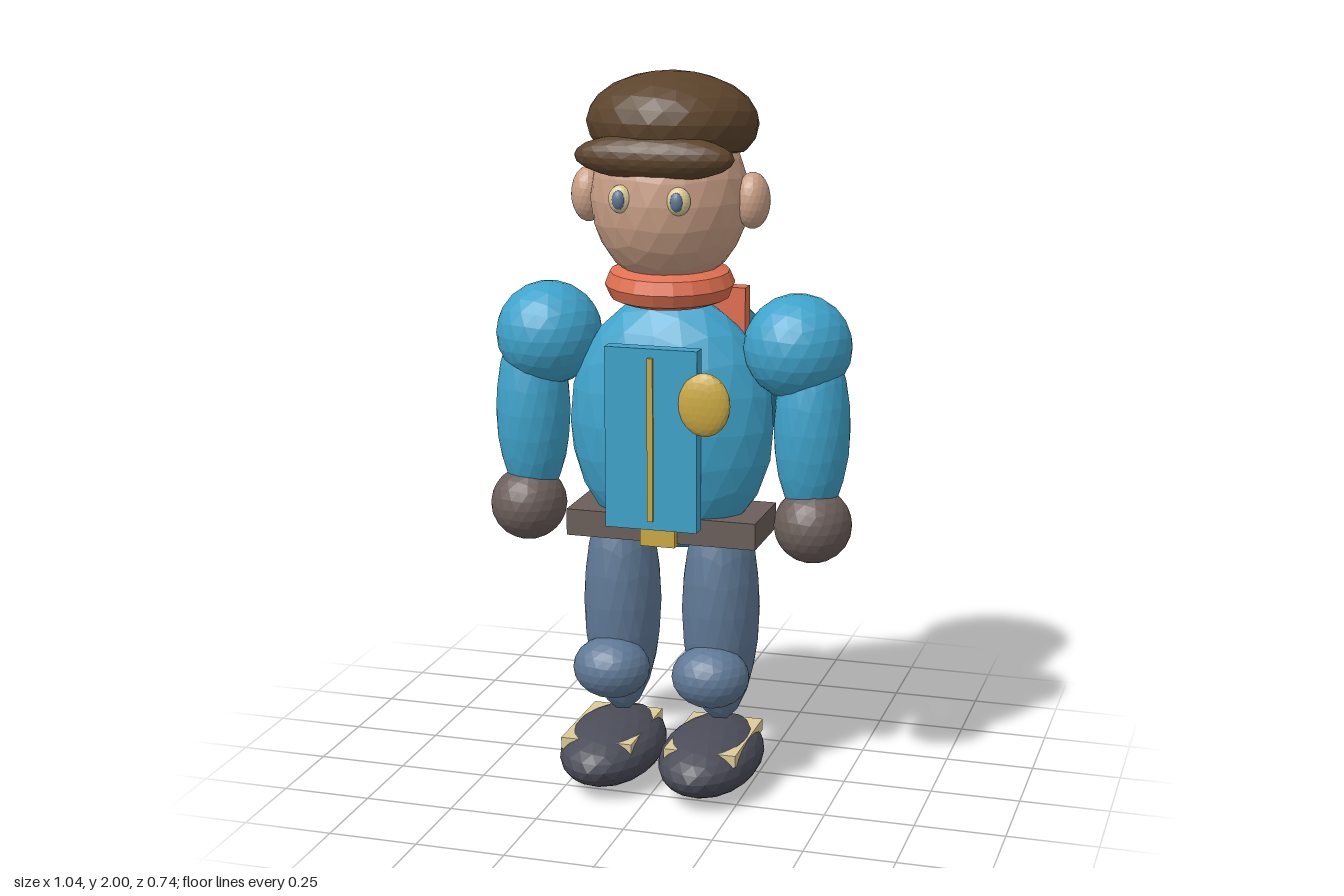
import * as THREE from 'three';

const mat = (name, color) => {
  const m = new THREE.MeshStandardMaterial({ color, flatShading: true });
  m.name = name;
  return m;
};

export function createModel() {
  const jacket = mat('jacket blue', 0x3fa3cb);
  const skin = mat('skin', 0xc99f86);
  const brown = mat('cap brown', 0x5c442c);
  const orange = mat('scarf orange', 0xe07050);
  const teal = mat('pack teal', 0x34798f);
  const grey = mat('glove grey', 0x6b5e5a);
  const denim = mat('trouser blue', 0x5f7895);
  const dark = mat('shoe grey', 0x4b4d59);
  const gold = mat('gold', 0xcba943);
  const cream = mat('cream', 0xdccb98);

  const model = new THREE.Group();
  model.name = 'figure';

  const add = (name, geometry, material, pos) => {
    const mesh = new THREE.Mesh(geometry, material);
    mesh.name = name;
    mesh.position.set(...pos);
    model.add(mesh);
    return mesh;
  };
  // Faceted ball with a vertex at its top, stretched to the given radii
  const ballGeometry = (radii) => {
    const g = new THREE.IcosahedronGeometry(1, 3);
    g.rotateZ(-Math.atan(2 / (1 + Math.sqrt(5))));
    return g.scale(...radii);
  };
  const ball = (name, material, pos, radii) => add(name, ballGeometry(radii), material, pos);
  const box = (name, material, pos, size) => add(name, new THREE.BoxGeometry(...size), material, pos);

  // Head and cap
  ball('head', skin, [0, 1.66, 0.055], [0.217, 0.245, 0.212]);
  const capGeometry = ballGeometry([0.236, 0.14, 0.226]);
  const p = capGeometry.attributes.position;
  for (let i = 0; i < p.count; i++) p.setY(i, Math.max(p.getY(i), -0.08)); // flat underside
  add('cap', capGeometry, brown, [0, 1.86, 0.028]).rotation.x = -0.07;
  ball('capBrim', brown, [0, 1.786, 0.205], [0.222, 0.064, 0.07]);

  // Scarf and its tail
  const scarf = new THREE.TorusGeometry(0.13, 0.05, 8, 20).rotateX(Math.PI / 2).scale(1, 1, 0.92);
  add('scarf', scarf, orange, [0, 1.425, 0.055]).rotation.x = 0.06;
  box('scarfTail', orange, [0.15, 1.33, -0.02], [0.1, 0.16, 0.05]);

  // Torso, jacket front and belt
  ball('torso', jacket, [0, 1.03, 0.04], [0.292, 0.365, 0.178]);
  box('jacketFront', jacket, [0, 1.023, 0.218], [0.26, 0.505, 0.044]);
  box('zipper', gold, [0, 1.023, 0.244], [0.016, 0.455, 0.009]);
  ball('chestBadge', gold, [0.149, 1.13, 0.235], [0.073, 0.088, 0.026]);
  box('belt', grey, [0, 0.748, 0.04], [0.545, 0.075, 0.23]);
  box('buckle', gold, [0, 0.74, 0.14], [0.1, 0.07, 0.08]);

  // Backpack
  ball('backpack', teal, [0, 1.085, -0.203], [0.255, 0.291, 0.113]);
  box('packPocket', teal, [0, 1.01, -0.3], [0.3, 0.18, 0.09]);
  ball('packBadge', gold, [0, 1.122, -0.353], [0.075, 0.077, 0.018]);

  // Mirrored parts
  for (const [side, s] of [['left', 1], ['right', -1]]) {
    ball(side + 'Ear', skin, [s * 0.232, 1.66, 0.055], [0.048, 0.077, 0.055]);
    ball(side + 'Eye', cream, [s * 0.08, 1.677, 0.245], [0.033, 0.038, 0.025]);
    ball(side + 'Iris', denim, [s * 0.08, 1.677, 0.262], [0.018, 0.026, 0.014]);
    ball(side + 'Shoulder', jacket, [s * 0.358, 1.262, 0.038], [0.149, 0.146, 0.151]);
    ball(side + 'Arm', jacket, [s * 0.404, 1.04, 0.052], [0.105, 0.27, 0.105]);
    ball(side + 'Glove', grey, [s * 0.414, 0.772, 0.07], [0.108, 0.106, 0.111]);
    ball(side + 'Leg', denim, [s * 0.145, 0.5, 0.041], [0.109, 0.335, 0.119]);
    ball(side + 'Knee', denim, [s * 0.145, 0.33, 0.147], [0.11, 0.088, 0.098]);
    ball(side + 'Shoe', dark, [s * 0.145, 0.092, 0.131], [0.141, 0.092, 0.24]);
    box(side + 'ShoeStrap', cream, [s * 0.15, 0.137, 0.128], [0.206, 0.034, 0.3]);
  }
  return model;
}
